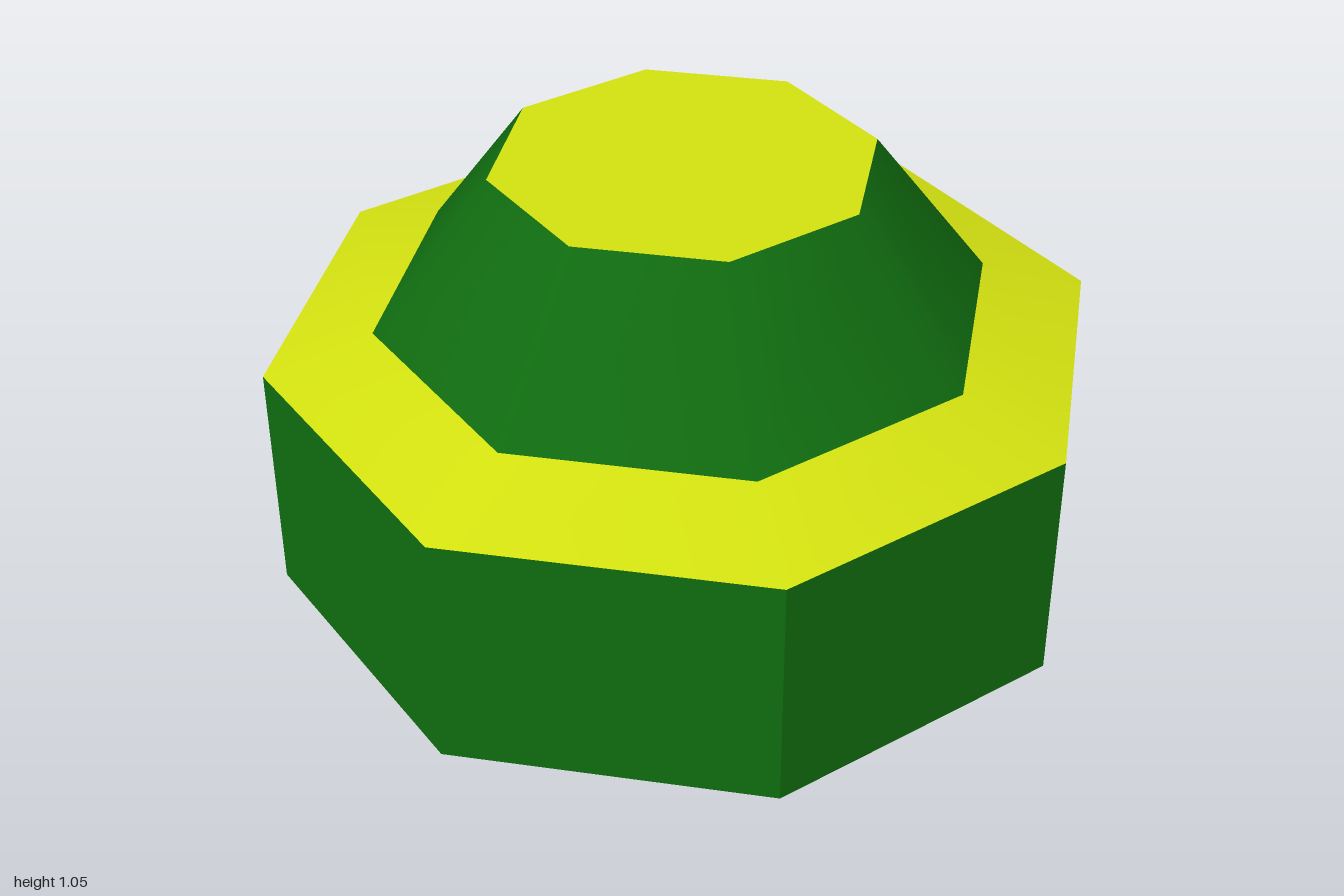
import * as THREE from 'three';

const SIDES = 8;

export function createModel() {
  const model = new THREE.Group();
  const paint = (color, flatShading) =>
    new THREE.MeshStandardMaterial({ color, flatShading, side: THREE.DoubleSide });
  const GREEN = 0x106c10, YELLOW = 0xd2e010;

  // Open eight-sided band between two heights
  function band(name, rBottom, rTop, y0, y1, color, flat) {
    const geometry = new THREE.CylinderGeometry(rTop, rBottom, y1 - y0, SIDES, 1, true);
    geometry.translate(0, (y0 + y1) / 2, 0);
    const mesh = new THREE.Mesh(geometry, paint(color, flat));
    mesh.name = name;
    model.add(mesh);
  }

  // Hollow shell: faceted wall, smooth-shaded ledge and cone, open underneath
  band('baseWall', 1, 1, 0, 0.59, GREEN, true);
  band('ledge', 1, 0.74, 0.59, 0.675, YELLOW, false);
  band('upperCone', 0.74, 0.457, 0.675, 1.05, GREEN, false);

  // Flat lid
  const lid = new THREE.Mesh(new THREE.CircleGeometry(0.457, SIDES), paint(YELLOW, true));
  lid.name = 'topLid';
  lid.rotation.x = -Math.PI / 2;
  lid.position.y = 1.05;
  model.add(lid);

  return model;
}
